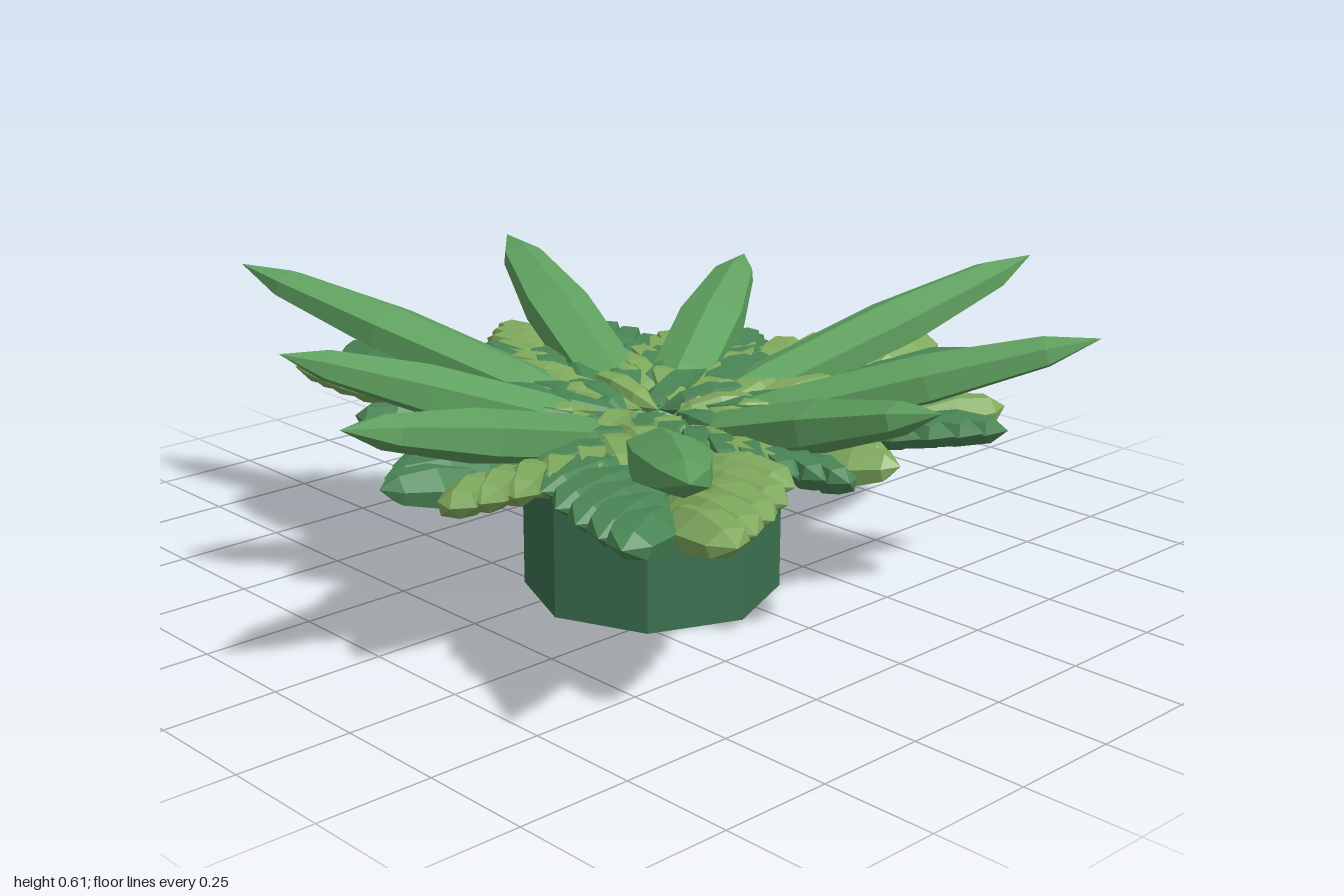
import * as THREE from 'three';

const CENTRE = [0.09, 0.07];
const ROOT_HEIGHT = 0.33;
const LEAFLETS_PER_SIDE = 8;

// Tips of the long blades: x, y, z
const TIPS = [
  [0.28, 0.61, -0.998], [0.815, 0.595, -0.535], [0.885, 0.575, 0.07],
  [0.925, 0.612, 0.77], [0.26, 0.6, 0.998], [-0.3, 0.58, 0.755],
  [-0.925, 0.612, 0.44], [-0.79, 0.6, -0.255], [-0.305, 0.575, -0.615],
];

function paint(color) {
  const m = new THREE.MeshStandardMaterial({ flatShading: true });
  m.color.set(color);
  return m;
}

// Six-sided spindle of unit length along +z, with a ridge on top
function spindle(profile, halfWidth, halfHeight) {
  const points = profile.map(([t, r]) => new THREE.Vector2(r, t));
  const g = new THREE.LatheGeometry(points, 6);
  g.rotateX(Math.PI / 2);
  g.scale(halfWidth / 0.866, halfHeight, 1);
  return g;
}

export function createModel() {
  const model = new THREE.Group();
  model.name = 'plant';

  const potPaint = paint(0x3b7050);
  const bladePaint = paint(0x5fa05f);
  const lightPaint = paint(0x7fa95d);
  const darkPaint = paint(0x4a8555);

  const bladeGeo = spindle(
    [[0, 0], [0.09, 0.66], [0.3, 0.95], [0.62, 1], [0.88, 0.62], [1, 0]], 0.074, 0.055);
  const leafletGeo = spindle(
    [[0, 0], [0.25, 0.75], [0.55, 1], [0.86, 0.7], [1, 0]], 0.055, 0.04);

  // Eight-sided base
  const base = new THREE.Mesh(new THREE.CylinderGeometry(0.283, 0.283, 0.27, 8), potPaint);
  base.name = 'base';
  base.position.set(CENTRE[0], 0.135, CENTRE[1]);
  model.add(base);

  TIPS.forEach(([x, y, z], i) => {
    const dx = x - CENTRE[0];
    const dz = z - CENTRE[1];
    const heading = Math.atan2(dx, dz);
    const reach = Math.hypot(dx, dz);

    // Rising blade from the common root to its tip
    const rise = y - ROOT_HEIGHT;
    const blade = new THREE.Mesh(bladeGeo, bladePaint);
    blade.name = `blade${i + 1}`;
    blade.rotation.set(-Math.atan2(rise, reach), heading, 0, 'YXZ');
    blade.scale.z = Math.hypot(rise, reach);
    blade.position.set(CENTRE[0], ROOT_HEIGHT, CENTRE[1]);
    model.add(blade);

    // Flat frond of overlapping leaflets, light on one side and dark on the other
    const frond = new THREE.Group();
    frond.name = `frond${i + 1}`;
    frond.position.set(CENTRE[0], 0.39, CENTRE[1]);
    frond.rotation.y = heading;
    frond.scale.set(reach, 1, reach);
    for (const side of [1, -1]) {
      for (let k = 0; k < LEAFLETS_PER_SIDE; k++) {
        const t = k / (LEAFLETS_PER_SIDE - 1);
        const leaflet = new THREE.Mesh(leafletGeo, side > 0 ? lightPaint : darkPaint);
        leaflet.name = side > 0 ? 'lightLeaflet' : 'darkLeaflet';
        leaflet.position.set(0, 0, 0.06 + 0.49 * t);
        leaflet.rotation.set(-0.09, side * (1.0 - 0.64 * t), side * 0.3, 'YXZ');
        leaflet.scale.z = 0.25 + 0.09 * Math.sin(Math.PI * (0.08 + 0.85 * t));
        frond.add(leaflet);
      }
    }
    model.add(frond);
  });

  return model;
}
